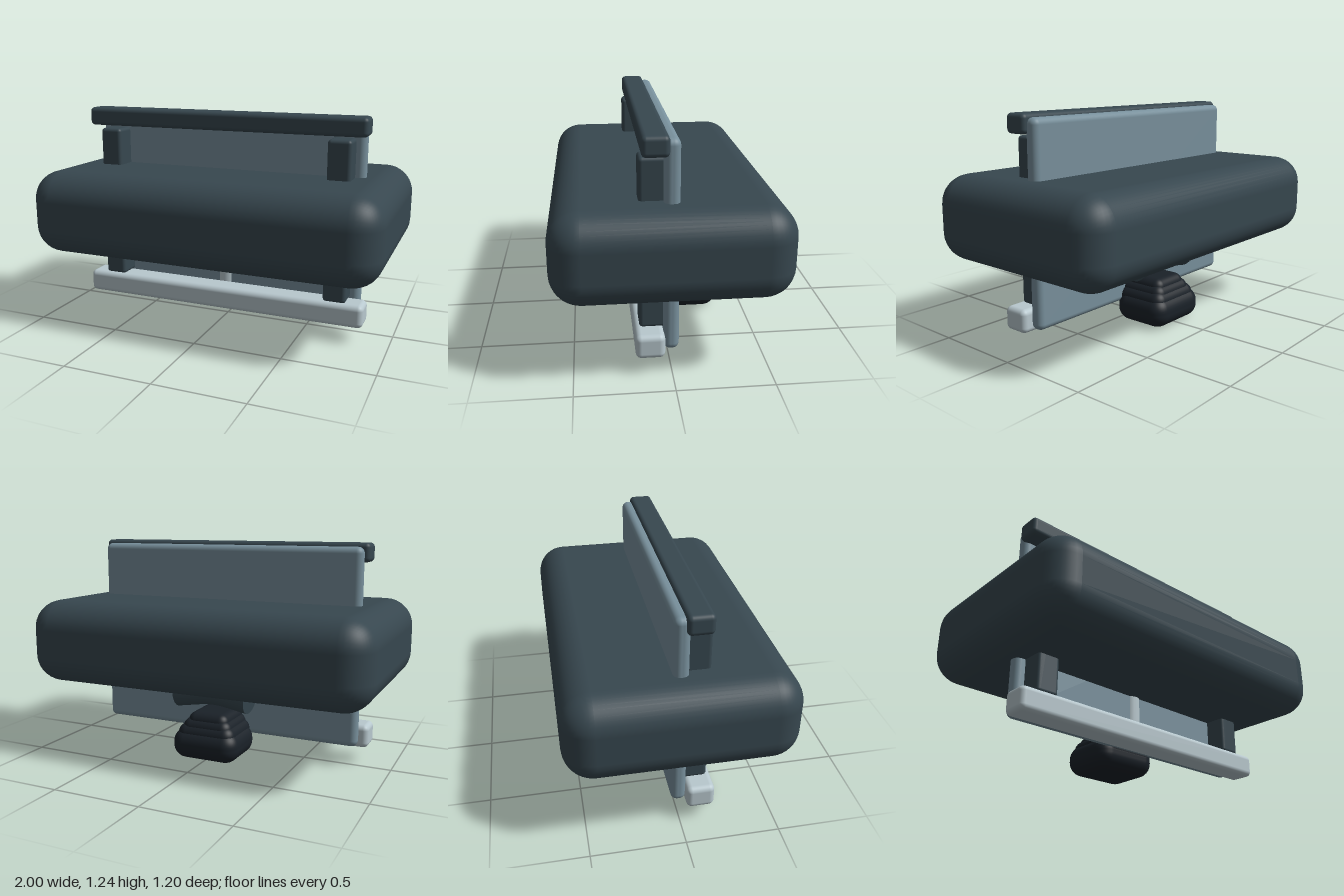
import * as THREE from 'three';
import { RoundedBoxGeometry } from 'three/addons/geometries/RoundedBoxGeometry.js';

const material = (color) => new THREE.MeshStandardMaterial({ color });

export function createModel() {
  const model = new THREE.Group();
  const dark = material(0x37474f);
  const mid = material(0x78909c);
  const pale = material(0xb8c8ce);
  const black = material(0x1a2128);

  const add = (name, geometry, mat, parent = model) => {
    const mesh = new THREE.Mesh(geometry, mat);
    mesh.name = name;
    parent.add(mesh);
    return mesh;
  };

  // Rounded box given by its extent along each axis
  const block = (name, [x0, x1], [y0, y1], [z0, z1], radius, mat, parent) => {
    const geometry = new RoundedBoxGeometry(x1 - x0, y1 - y0, z1 - z0, 5, radius);
    geometry.translate((x0 + x1) / 2, (y0 + y1) / 2, (z0 + z1) / 2);
    return add(name, geometry, mat, parent);
  };

  // Large body with the upright panel passing through it
  block('body', [-1, 1], [0.425, 0.9], [-0.6, 0.6], 0.16, dark);
  block('panel', [-0.81, 0.81], [0.11, 1.215], [-0.04, 0.04], 0.035, mid);

  // Rails across the top and bottom of the panel
  block('topRail', [-0.835, 0.835], [1.13, 1.235], [0.015, 0.15], 0.025, dark);
  block('bottomRail', [-0.857, 0.857], [0.09, 0.22], [0.035, 0.185], 0.03, pale);

  // Posts on the front of the panel
  for (const side of [-1, 1]) {
    block(side > 0 ? 'leftPost' : 'rightPost',
      [side * 0.69 - 0.065, side * 0.69 + 0.065], [0.215, 1.115], [0.02, 0.16], 0.02, dark);
  }

  // Central column, showing on both faces of the panel
  const column = add('column', new THREE.CylinderGeometry(0.055, 0.055, 0.5, 20), pale);
  column.position.y = 0.4;

  // Gently bowed bar under the body, with flat ends
  const ends = [-0.23, 0.23].map((x) => new THREE.Vector3(x, 0.358, -0.174));
  const bow = new THREE.CatmullRomCurve3([ends[0], new THREE.Vector3(0, 0.385, -0.158), ends[1]]);
  const bar = new THREE.Group();
  bar.name = 'bar';
  model.add(bar);
  add('barTube', new THREE.TubeGeometry(bow, 16, 0.085, 20), dark, bar);
  ends.forEach((end, i) => {
    const cap = add('barEnd', new THREE.CircleGeometry(0.085, 20), dark, bar);
    cap.position.copy(end);
    cap.lookAt(end.clone().addScaledVector(bow.getTangent(i), i ? 1 : -1));
  });

  // Stepped foot, its tiers narrowing upwards
  const foot = new THREE.Group();
  foot.name = 'foot';
  model.add(foot);
  const tiers = [
    { half: 0.2, y: [0, 0.175], back: -0.345, r: 0.08 },
    { half: 0.175, y: [0.05, 0.205], back: -0.32, r: 0.06 },
    { half: 0.15, y: [0.08, 0.235], back: -0.3, r: 0.055 },
    { half: 0.125, y: [0.1, 0.267], back: -0.278, r: 0.05 },
  ];
  for (const { half, y, back, r } of tiers) {
    block('footTier', [-half, half], y, [back, 0], r, black, foot);
  }

  return model;
}
